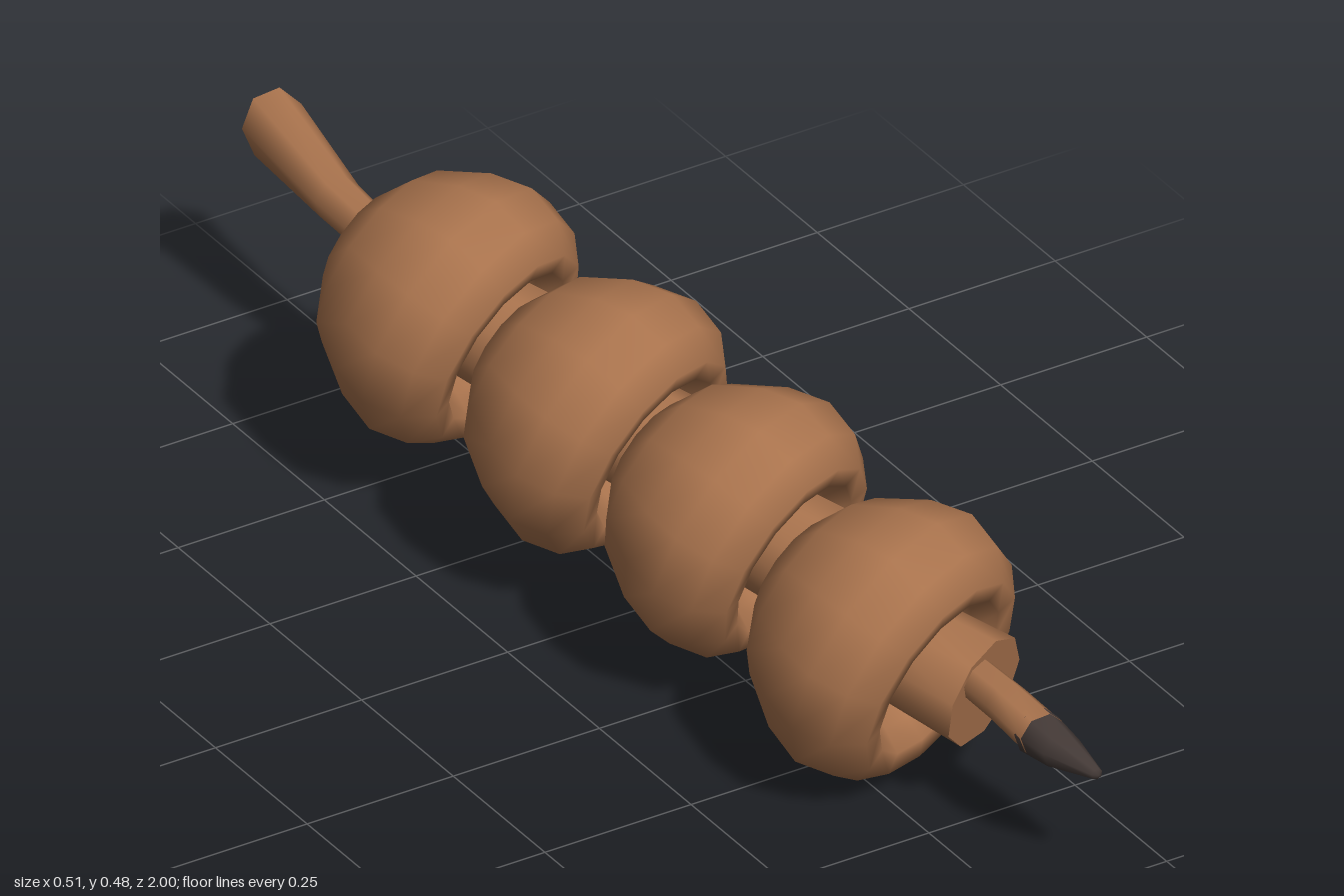
import * as THREE from 'three';
import { toCreasedNormals } from 'three/addons/utils/BufferGeometryUtils.js';

const brown = new THREE.MeshStandardMaterial({ color: 0xa9734d });
brown.name = 'roasted brown';
const char = new THREE.MeshStandardMaterial({ color: 0x433936 });
char.name = 'charred tip';

// Caps droop a little more than the stems they sit on
const UP = new THREE.Vector3(0, 1, 0);
const CAP_AXIS = new THREE.Vector3(0.35, -0.31, 0.9).normalize();
const STEM_AXIS = new THREE.Vector3(0.4, -0.19, 0.9).normalize();

function mesh(name, geometry, material) {
  const m = new THREE.Mesh(geometry, material);
  m.name = name;
  return m;
}

// Skin over rings [x, y, z, rx, ry, slant], listed from front to back
function loft(rings, sides = 7) {
  const pos = [], index = [];
  rings.forEach(([x, y, z, rx, ry, slant = 0], i) => {
    for (let j = 0; j < sides; j++) {
      const a = (j / sides) * Math.PI * 2 + 0.3;
      pos.push(x + rx * Math.cos(a), y + ry * Math.sin(a), z + slant * Math.sin(a));
      if (i === rings.length - 1) continue;
      const p = i * sides + j, q = i * sides + ((j + 1) % sides);
      index.push(p, p + sides, q, q, p + sides, q + sides);
    }
  });
  const g = new THREE.BufferGeometry();
  g.setAttribute('position', new THREE.Float32BufferAttribute(pos, 3));
  g.setIndex(index);
  return toCreasedNormals(g, 1.1);
}

// Mushroom: domed cap behind, curled rim and stem in front
function mushroom(x, y, z, radius, spin) {
  const g = new THREE.Group();
  g.name = 'mushroom';
  const profile = [
    [0, -0.177], [0.085, -0.163], [0.155, -0.118], [0.2, -0.045], [0.218, 0.02],
    [0.202, 0.08], [0.165, 0.118], [0.132, 0.115], [0.112, 0.08], [0.105, 0.03], [0.07, 0.0],
  ].map(([r, s]) => new THREE.Vector2((r * radius) / 0.218, s));
  const cap = mesh('cap', new THREE.LatheGeometry(profile, 13), brown);
  cap.quaternion.setFromUnitVectors(UP, CAP_AXIS);
  cap.rotateY(spin);
  const stem = mesh('stem',
    toCreasedNormals(new THREE.CylinderGeometry(0.09, 0.082, 0.2, 9), 0.9), brown);
  stem.position.copy(STEM_AXIS).multiplyScalar(0.088);
  stem.quaternion.setFromUnitVectors(UP, STEM_AXIS);
  stem.rotateY(spin);
  g.add(cap, stem);
  g.position.set(x, y, z);
  return g;
}

export function createModel() {
  const model = new THREE.Group();
  model.name = 'mushroomSkewer';

  [
    [0.042, 0.222, 0.545, 0.222],
    [0.01, 0.257, 0.2, 0.213],
    [-0.018, 0.27, -0.135, 0.216],
    [-0.055, 0.285, -0.48, 0.213],
  ].forEach(([x, y, z, r], i) => model.add(mushroom(x, y, z, r, i * 0.35)));

  // Wooden stick, thicker and cut at a slant at the back
  model.add(mesh('stick', loft([
    [0.106, 0.208, 0.89, 0.037, 0.033],
    [0.1, 0.22, 0.8, 0.035, 0.031],
    [0.092, 0.228, 0.7, 0.033, 0.03],
    [-0.03, 0.268, -0.62, 0.031, 0.031],
    [-0.04, 0.292, -0.8, 0.038, 0.035],
    [-0.033, 0.32, -0.985, 0.053, 0.052, -0.015],
    [-0.033, 0.32, -0.985, 0, 0],
  ]), brown));

  // Burnt point at the front
  model.add(mesh('tip', loft([
    [0.134, 0.186, 1.0, 0, 0],
    [0.134, 0.186, 0.995, 0.009, 0.009],
    [0.114, 0.199, 0.93, 0.032, 0.028],
    [0.106, 0.207, 0.875, 0.039, 0.036],
  ]), char));

  return model;
}
